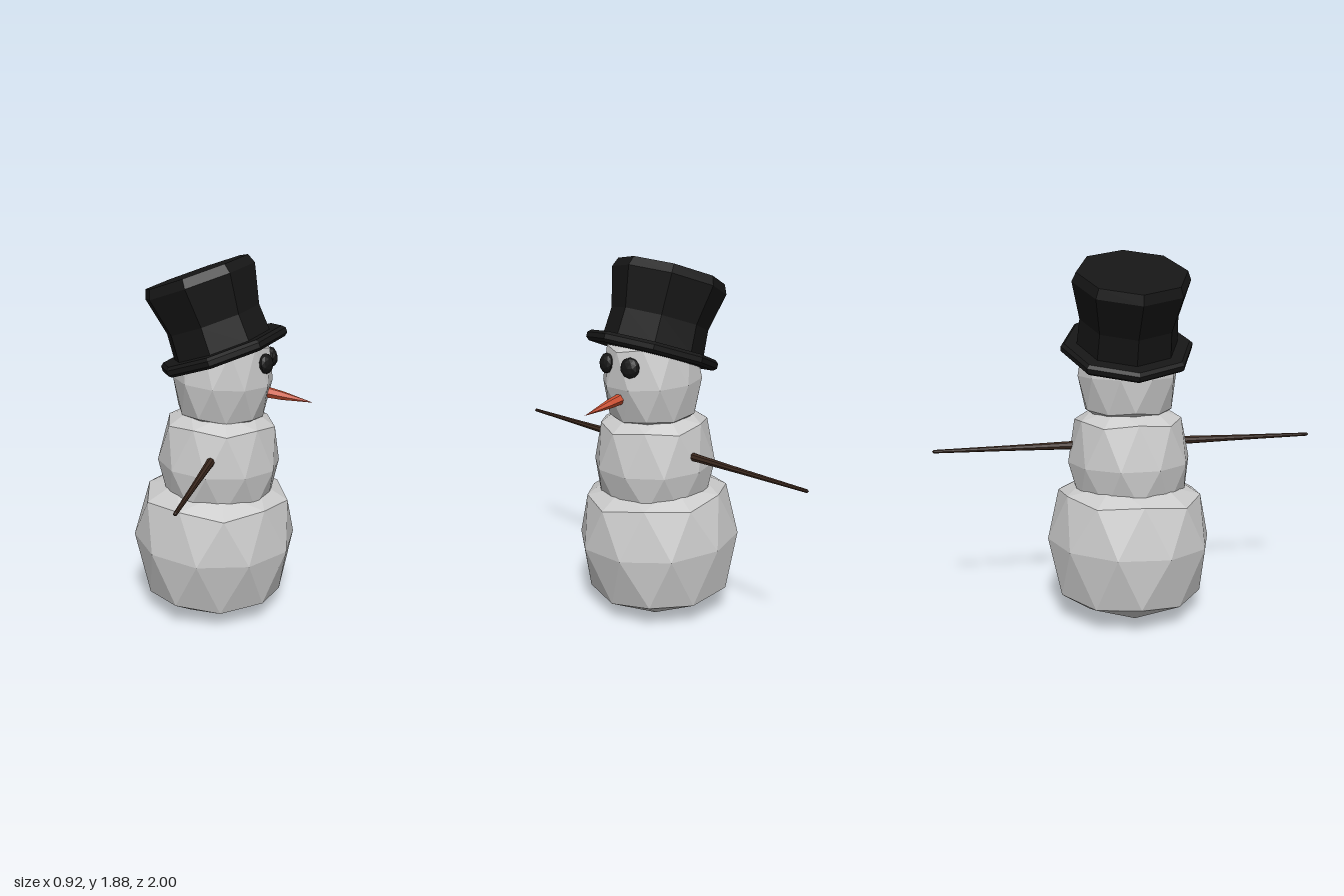
import * as THREE from 'three';

const material = (color) => new THREE.MeshStandardMaterial({ color, flatShading: true });

// Faceted snow ball: icosphere with a vertex at each pole, fuller than a sphere above and below
function snowBall(name, radius, up, down, position, tiltX, tiltZ, mat) {
  const geo = new THREE.IcosahedronGeometry(1, 1);
  geo.rotateZ(Math.atan(2 / (1 + Math.sqrt(5))));
  geo.rotateY(Math.PI);
  const p = geo.attributes.position;
  for (let i = 0; i < p.count; i++) {
    const y = p.getY(i);
    const bulged = Math.abs(y) < 1e-4 ? 0 : Math.sign(y) * Math.sqrt(Math.abs(y));
    p.setXYZ(i, p.getX(i) * radius, bulged * (y > 0 ? up : down), p.getZ(i) * radius);
  }
  geo.rotateX(tiltX);
  geo.rotateZ(tiltZ);
  geo.computeVertexNormals();
  const mesh = new THREE.Mesh(geo, mat);
  mesh.name = name;
  mesh.position.set(...position);
  return mesh;
}

// Faceted turned part from [radius, height] pairs, bottom to top
function turned(name, profile, sides, mat) {
  const points = profile.map(([r, h]) => new THREE.Vector2(r, h));
  const mesh = new THREE.Mesh(new THREE.LatheGeometry(points, sides), mat);
  mesh.name = name;
  return mesh;
}

export function createModel() {
  const model = new THREE.Group();
  model.name = 'snowman';
  const snow = material(0xcccccc);
  const black = material(0x161616);
  const carrot = material(0xcc4f30);
  const wood = material(0x3b281e);

  // Three stacked snow balls
  model.add(
    snowBall('lowerBody', 0.43, 0.35, 0.4, [-0.05, 0.402, 0], 0.04, -0.04, snow),
    snowBall('upperBody', 0.32, 0.31, 0.28, [-0.025, 0.82, 0.005], 0, -0.04, snow),
    snowBall('head', 0.257, 0.27, 0.25, [-0.003, 1.26, 0], 0.02, -0.06, snow)
  );

  // Top hat, leaning backwards
  const hat = new THREE.Group();
  hat.name = 'hat';
  hat.add(
    turned('brim', [[0, 0], [0.325, 0], [0.342, 0.015], [0.342, 0.04], [0.325, 0.055], [0, 0.055]], 8, black),
    turned('crown', [[0, 0.04], [0.262, 0.045], [0.252, 0.19], [0.298, 0.39], [0.278, 0.438], [0, 0.438]], 8, black)
  );
  hat.position.set(0.005, 1.38, 0);
  hat.rotation.z = 0.34;
  model.add(hat);

  for (const side of [1, -1]) {
    const name = side > 0 ? 'left' : 'right';

    // Flattened coal eye
    const eye = new THREE.Mesh(new THREE.IcosahedronGeometry(0.052, 1), black);
    eye.name = name + 'Eye';
    eye.scale.x = 0.6;
    eye.position.set(0.232, 1.362, side * 0.085);
    eye.rotation.set(0, -side * 0.3, 0.12);
    model.add(eye);

    // Stick arm, tapering outwards
    const arm = turned(name + 'Arm', [[0, 0.26], [0.018, 0.26], [0.022, 0.29], [0.015, 0.6], [0.009, 0.99], [0, 1]], 8, wood);
    arm.position.set(-0.005, 0.903, 0);
    arm.rotation.x = side * Math.PI / 2;
    model.add(arm);
  }

  // Carrot nose, pointing forwards and slightly down
  const nose = turned('nose', [[0, 0], [0.03, 0], [0.023, 0.1], [0, 0.26]], 6, carrot);
  nose.position.set(0.205, 1.197, -0.007);
  nose.rotation.z = -Math.PI / 2 - 0.18;
  model.add(nose);

  return model;
}
